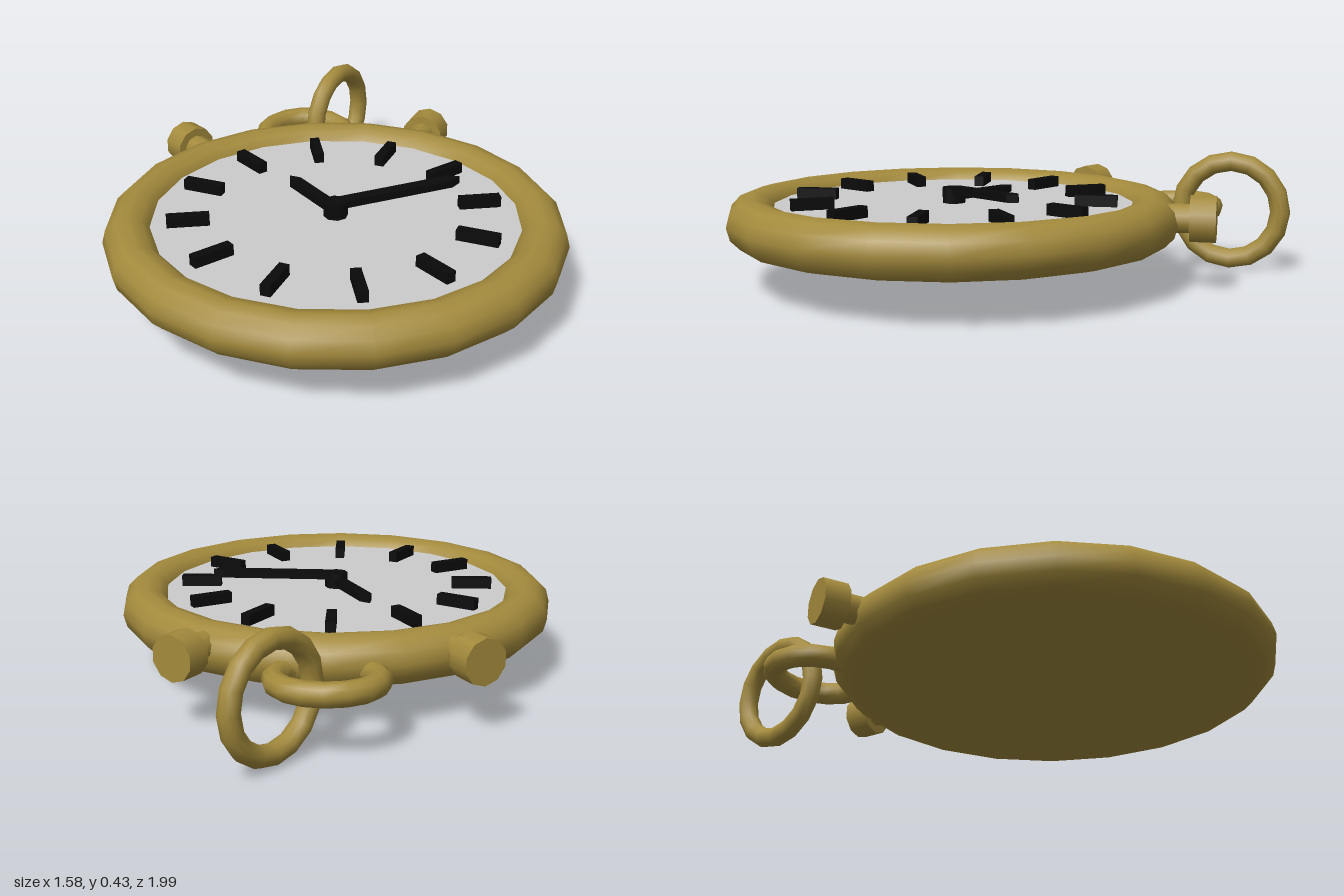
import * as THREE from 'three';

const gold = new THREE.MeshStandardMaterial({ color: 0xa38a3c });
const white = new THREE.MeshStandardMaterial({ color: 0xcccccc });
const black = new THREE.MeshStandardMaterial({ color: 0x0a0a0a });

const CASE_Y = 0.227, CASE_Z = 0.205, DIAL_Y = 0.275;

function add(parent, name, geometry, material, x = 0, y = 0, z = 0) {
  const mesh = new THREE.Mesh(geometry, material);
  mesh.name = name;
  mesh.position.set(x, y, z);
  parent.add(mesh);
  return mesh;
}

// Flat hand pointing along +x from the pivot, with a blunt pointed tip
function handGeometry(length, width, thickness) {
  const h = width / 2;
  const shape = new THREE.Shape([
    new THREE.Vector2(0, -h), new THREE.Vector2(length - 0.035, -h),
    new THREE.Vector2(length, 0), new THREE.Vector2(length - 0.035, h),
    new THREE.Vector2(0, h),
  ]);
  return new THREE.ExtrudeGeometry(shape, { depth: thickness, bevelEnabled: false })
    .rotateX(-Math.PI / 2);
}

export function createModel() {
  const model = new THREE.Group();
  model.name = 'pocketWatch';

  // Round case: rim, back plate and dial
  const watch = new THREE.Group();
  watch.name = 'watchBody';
  watch.position.z = CASE_Z;
  model.add(watch);
  add(watch, 'rim', new THREE.TorusGeometry(0.703, 0.088, 12, 20).rotateX(Math.PI / 2), gold, 0, CASE_Y, 0);
  add(watch, 'backPlate', new THREE.CylinderGeometry(0.7, 0.7, 0.08, 20), gold, 0, 0.183, 0);
  add(watch, 'dial', new THREE.CylinderGeometry(0.65, 0.65, 0.04, 20), white, 0, DIAL_Y - 0.02, 0);

  // Twelve hour marks
  for (let i = 0; i < 12; i++) {
    const a = i * Math.PI / 6;
    const mark = add(watch, 'hourMark', new THREE.BoxGeometry(0.145, 0.045, 0.035), black,
      0.502 * Math.cos(a), DIAL_Y + 0.016, -0.502 * Math.sin(a));
    mark.rotation.y = a;
  }

  // Hands and hub
  add(watch, 'hub', new THREE.CylinderGeometry(0.042, 0.042, 0.055, 8), black, 0, DIAL_Y + 0.027, 0);
  const hourHand = add(watch, 'hourHand', handGeometry(0.29, 0.045, 0.025), black, 0, 0.286, 0);
  hourHand.rotation.y = Math.atan2(0.255, -0.125);
  const minuteHand = add(watch, 'minuteHand', handGeometry(0.455, 0.045, 0.027), black, 0, 0.306, 0);
  minuteHand.rotation.set(0, Math.atan2(0.075, 0.44), 0.055);

  // Two push buttons, mirrored
  for (const side of [-1, 1]) {
    const button = new THREE.Group();
    button.name = side > 0 ? 'leftButton' : 'rightButton';
    button.position.set(side * 0.47, 0.247, -0.527);
    button.rotation.y = -side * 0.55;
    model.add(button);
    add(button, 'buttonStem', new THREE.CylinderGeometry(0.05, 0.05, 0.18, 10).rotateX(-Math.PI / 2), gold, 0, 0, 0.09);
    add(button, 'buttonCap', new THREE.CylinderGeometry(0.08, 0.08, 0.088, 10).rotateX(-Math.PI / 2), gold);
  }

  // Bail on the case and the loose ring through it
  const bail = add(model, 'bail', new THREE.TorusGeometry(0.165, 0.04, 10, 16).rotateX(Math.PI / 2), gold, 0, 0.21, -0.635);
  bail.rotation.x = 0.07;
  const ring = add(model, 'chainRing', new THREE.TorusGeometry(0.181, 0.036, 10, 16), gold, 0.155, 0.217, -0.812);
  ring.rotation.y = Math.atan2(0.79, 0.62);

  return model;
}
